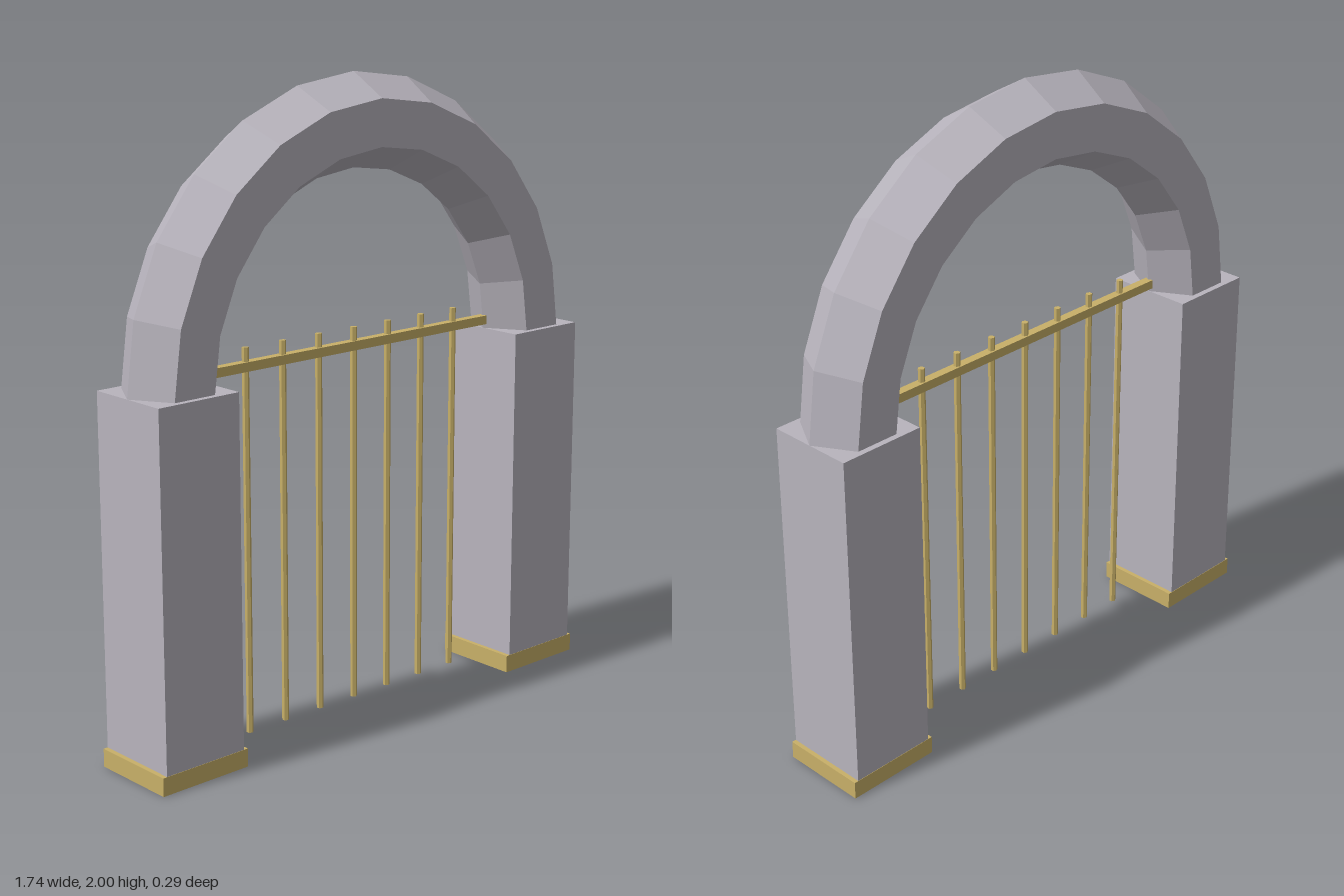
import * as THREE from 'three';

const U = 1 / 7; // building unit: half a pillar width

export function createModel() {
  const stone = new THREE.MeshStandardMaterial({ color: 0xb8b4bd, flatShading: true });
  stone.name = 'stone';
  const gold = new THREE.MeshStandardMaterial({ color: 0xc8b068, flatShading: true });
  gold.name = 'gold';

  const gate = new THREE.Group();
  gate.name = 'archedGate';

  const add = (name, geometry, material, x, y, z = 0) => {
    const mesh = new THREE.Mesh(geometry, material);
    mesh.name = name;
    mesh.position.set(x, y, z);
    gate.add(mesh);
    return mesh;
  };

  // Square pillars, each with a low gold plinth wider on the x sides
  const plinthHeight = 0.4 * U;
  const pillarBottom = plinthHeight / 2;
  const pillarHeight = 8 * U - pillarBottom;
  for (const [side, s] of [['left', 1], ['right', -1]]) {
    add(side + 'Pillar', new THREE.BoxGeometry(2 * U, pillarHeight, 2 * U), stone,
      s * 5 * U, pillarBottom + pillarHeight / 2);
    add(side + 'Plinth', new THREE.BoxGeometry(2.2 * U, plinthHeight, 2 * U + 0.002), gold,
      s * 5 * U, plinthHeight / 2);
  }

  // Six-sided half ring resting on the pillars
  add('arch', new THREE.TorusGeometry(5 * U, U, 6, 12, Math.PI), stone, 0, 8 * U);

  // Top rail between the pillars
  add('rail', new THREE.BoxGeometry(8 * U, 0.2 * U, 0.2 * U), gold, 0, 8.2 * U);

  // Seven thin upright bars, passing through the rail
  const barGeometry = new THREE.CylinderGeometry(0.075 * U, 0.075 * U, 8.4 * U, 6);
  for (let i = -3; i <= 3; i++) add('bar' + (i + 4), barGeometry, gold, i * U, 4.4 * U);

  return gate;
}
